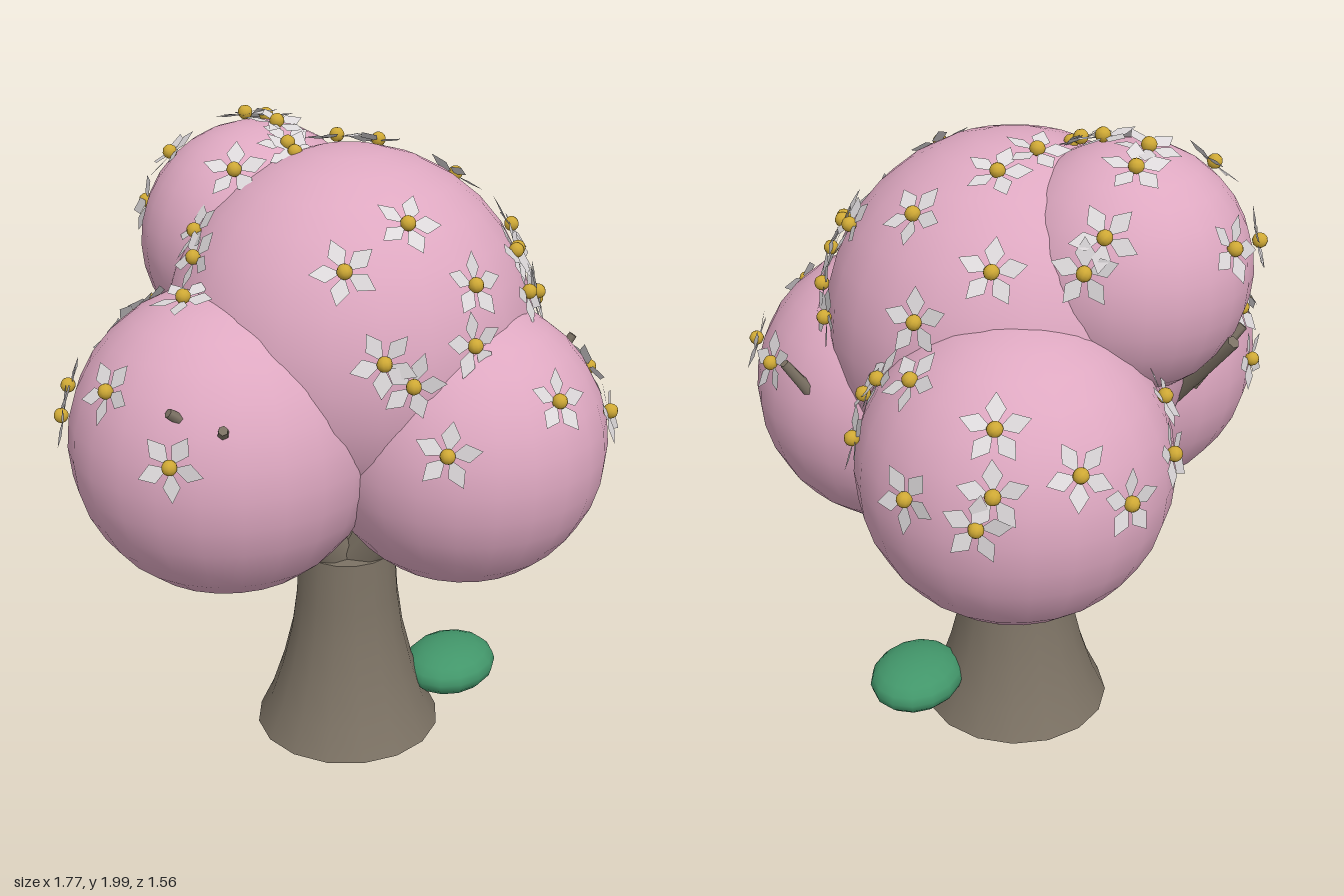
import * as THREE from 'three';
import { mergeGeometries } from 'three/addons/utils/BufferGeometryUtils.js';

const V = (a) => new THREE.Vector3(...a);
const UP = new THREE.Vector3(0, 1, 0);
const OUT = new THREE.Vector3(0, 0, 1);

function material(name, color, side = THREE.FrontSide) {
  const m = new THREE.MeshStandardMaterial({ color, side });
  m.name = name;
  return m;
}

// Rounded foliage masses; blossoms sit on them at [heading, elevation] in degrees
const PUFFS = [
  { name: 'crownFoliage', c: [0, 1.375, -0.05], r: 0.555, blossoms: [
    [-17, 11], [-45, 10], [-37, 3], [-56, 35], [-30, 48], [-12, 27], [19, 30], [22, 30], [37, 34], [16, 18],
    [32, 13], [43, 7], [70, 47], [107, 35], [103, 66], [139, 75], [-128, 37], [-117, 31], [85, 19]] },
  { name: 'frontFoliage', c: [0.045, 1.095, 0.33], r: 0.43, blossoms: [
    [-15, 32], [21, 17], [57, 22], [-64, 17]] },
  { name: 'rightFoliage', c: [-0.41, 1.13, -0.2], r: 0.46, blossoms: [
    [-102, 32], [-69, 13], [-103, 74], [178, 6], [175, 38], [166, 43], [179, 26], [-138, 11], [-142, 21]] },
  { name: 'leftFoliage', c: [0.41, 1.12, -0.24], r: 0.45, blossoms: [
    [55, 47], [36, 16], [25, 28], [30, 37], [76, 12], [102, 8],
    [107, 19], [106, 40], [137, 24], [155, 10], [184, 15], [199, 30]] },
  { name: 'upperBackFoliage', c: [0.015, 1.595, -0.4], r: 0.36, blossoms: [
    [-136, 47], [155, 79], [117, 66], [0, 78], [-22, 61], [-21, 55],
    [-66, 47], [100, 33], [93, 18], [-161, 14], [165, 22]] },
];

// Tapered rod between two points
function rod(name, from, to, r0, r1, sides, mat) {
  const a = V(from), d = V(to).sub(a);
  const g = new THREE.CylinderGeometry(r1, r0, d.length(), sides);
  g.translate(0, d.length() / 2, 0);
  const mesh = new THREE.Mesh(g, mat);
  mesh.quaternion.setFromUnitVectors(UP, d.normalize());
  mesh.position.copy(a);
  mesh.name = name;
  return mesh;
}

// Five kite-shaped petals, slightly twisted, facing +z
function petalGeometry() {
  const kite = new THREE.Shape([[0, 0.008], [0.027, 0.055], [0, 0.098], [-0.027, 0.055]]
    .map(([x, y]) => new THREE.Vector2(x, y)));
  const petals = [];
  for (let i = 0; i < 5; i++) {
    const g = new THREE.ShapeGeometry(kite);
    g.rotateY(0.15);
    g.rotateX(0.06);
    g.rotateZ(i * Math.PI * 2 / 5);
    petals.push(g);
  }
  return mergeGeometries(petals);
}

export function createModel() {
  const tree = new THREE.Group();
  tree.name = 'blossomTree';
  const bark = material('bark', 0x7c7264);
  const pink = material('pinkFoliage', 0xdea8c1);
  const white = material('whitePetal', 0xdcd8da, THREE.DoubleSide);
  const gold = material('goldCentre', 0xcfa935);
  const green = material('greenBush', 0x42966a);

  // Flared trunk with closed ends
  const trunk = new THREE.Group();
  trunk.name = 'trunk';
  trunk.position.set(0.005, 0, -0.065);
  const profile = [[0.3, 0.005], [0.255, 0.1], [0.215, 0.22], [0.183, 0.35], [0.165, 0.48], [0.155, 0.64]]
    .map(([x, y]) => new THREE.Vector2(x, y));
  const flare = new THREE.Mesh(new THREE.LatheGeometry(profile, 16), bark);
  flare.name = 'trunkFlare';
  trunk.add(flare);
  for (const [name, end, turn] of [['trunkBase', profile[0], 1], ['trunkTop', profile.at(-1), -1]]) {
    const cap = new THREE.Mesh(new THREE.CircleGeometry(end.x, 16), bark);
    cap.name = name;
    cap.rotation.x = turn * Math.PI / 2;
    cap.position.y = end.y;
    trunk.add(cap);
  }
  tree.add(trunk);

  // Foliage, the branches that carry it, and blossoms
  const petals = petalGeometry();
  const bud = new THREE.SphereGeometry(0.022, 10, 8);
  let count = 0;
  for (const { name, c, r, blossoms } of PUFFS) {
    const puff = new THREE.Mesh(new THREE.SphereGeometry(r, 24, 16), pink);
    puff.position.set(...c);
    puff.name = name;
    tree.add(puff, rod('branch', [0.005, 0.57, -0.07], c, 0.1, 0.07, 8, bark));

    for (const [heading, elevation] of blossoms) {
      const normal = new THREE.Vector3().setFromSphericalCoords(
        1, THREE.MathUtils.degToRad(90 - elevation), THREE.MathUtils.degToRad(heading));
      const ring = new THREE.Mesh(petals, white);
      ring.name = 'petals';
      ring.rotation.z = count++ * 1.7;
      const centre = new THREE.Mesh(bud, gold);
      centre.name = 'blossomCentre';
      centre.position.z = 0.008;
      const blossom = new THREE.Group();
      blossom.name = 'blossom';
      blossom.add(ring, centre);
      blossom.position.copy(puff.position).addScaledVector(normal, r + 0.013);
      blossom.quaternion.setFromUnitVectors(OUT, normal);
      tree.add(blossom);
    }
  }

  // Bare twigs poking out of the foliage
  const twigs = [
    [[-0.03, 1.2, -0.54], [0.05, 1.44, -0.74], 0.035],
    [[-0.02, 1.25, -0.6], [-0.11, 1.42, -0.72], 0.025],
    [[0.38, 1.12, 0.36], [0.48, 1.32, 0.455], 0.025],
    [[-0.66, 1.25, 0], [-0.755, 1.34, 0.08], 0.025],
    [[-0.66, 1.25, 0], [-0.8, 1.37, -0.07], 0.025],
  ];
  twigs.forEach(([a, b, r]) => tree.add(rod('twig', a, b, r, r * 0.55, 6, bark)));

  // Small bush at the foot of the trunk
  const bush = new THREE.Mesh(new THREE.SphereGeometry(1, 14, 10), green);
  bush.scale.set(0.17, 0.08, 0.145);
  bush.position.set(0.265, 0.155, 0.17);
  bush.name = 'bush';
  tree.add(bush);

  return tree;
}
